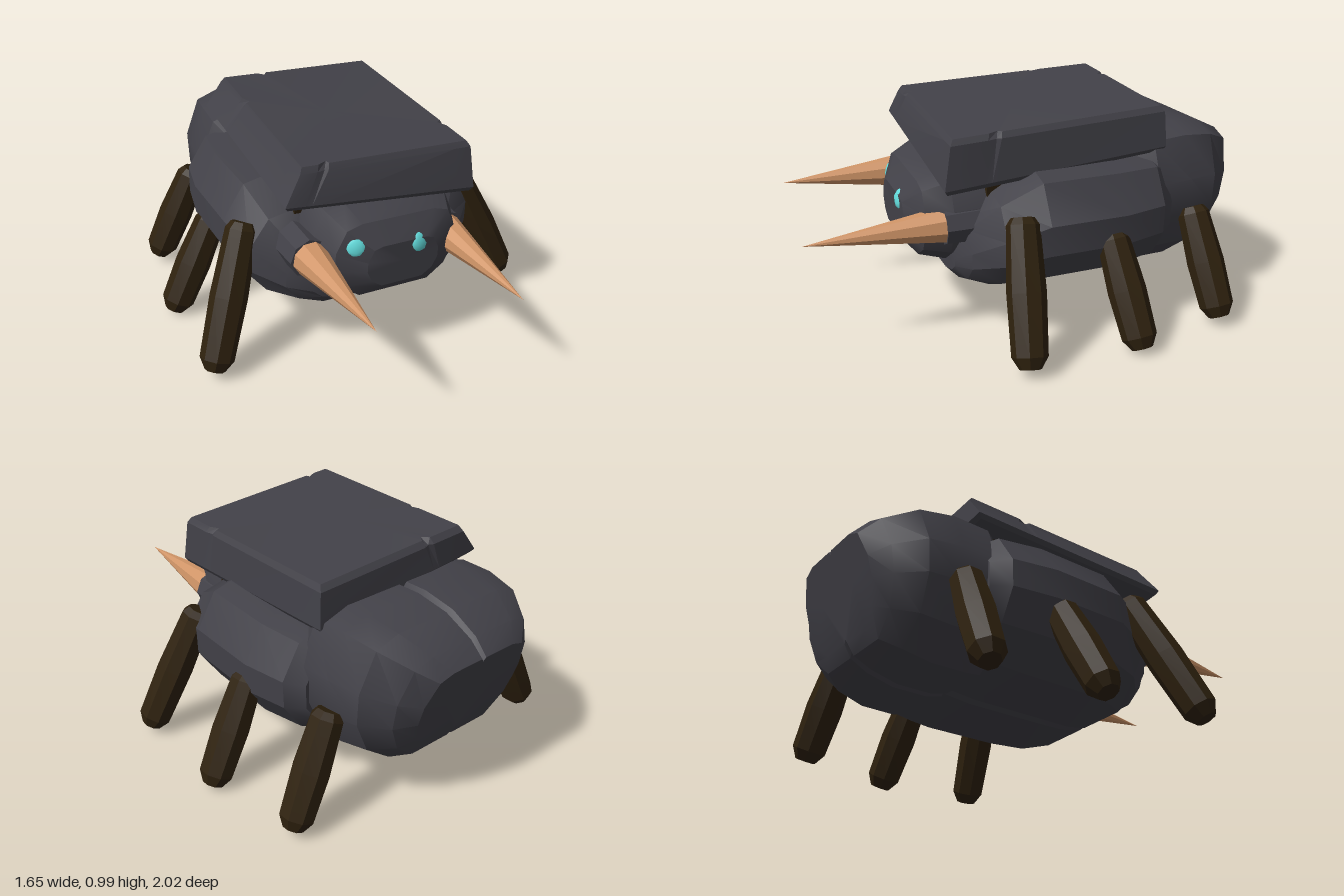
import * as THREE from 'three';
import { toCreasedNormals } from 'three/addons/utils/BufferGeometryUtils.js';

const V = (x, y, z) => new THREE.Vector3(x, y, z);
const material = (name, color) => {
  const m = new THREE.MeshStandardMaterial({ color });
  m.name = name;
  return m;
};

// Skin a list of closed rings and cap both ends
function loft(rings, crease = 0.45) {
  const pos = [];
  const tri = (...pts) => pts.forEach((p) => pos.push(p.x, p.y, p.z));
  const n = rings[0].length;
  const middle = (r) => r.reduce((s, p) => s.add(p), V(0, 0, 0)).divideScalar(n);
  const first = rings[0], last = rings[rings.length - 1];
  const c0 = middle(first), c1 = middle(last);
  for (let j = 0; j < n; j++) {
    const k = (j + 1) % n;
    for (let i = 0; i < rings.length - 1; i++) {
      const a = rings[i], b = rings[i + 1];
      tri(a[j], a[k], b[k]);
      tri(a[j], b[k], b[j]);
    }
    tri(c0, first[k], first[j]);
    tri(c1, last[j], last[k]);
  }
  const g = new THREE.BufferGeometry();
  g.setAttribute('position', new THREE.Float32BufferAttribute(pos, 3));
  return toCreasedNormals(g, crease);
}

// Half cross-section of a shell: u = outward, v = upward
const HALF = [[0, 0.04], [0.04, 0], [0.58, 0], [0.86, 0.17], [1, 0.42],
  [1, 0.66], [0.84, 0.94], [0.6, 1], [0.04, 1], [0, 0.96]];
const mirrored = (p) => p.map(([u, v]) => [-u, v]).reverse();

// Each section is [z, half width, bottom, top, backward lean]
const shell = (profile, sections) => loft(sections.map(([z, w, lo, hi, lean = 0]) =>
  profile.map(([u, v]) => V(u * w, lo + v * (hi - lo), z + lean * (0.6 - v)))));

export function createModel() {
  const model = new THREE.Group();
  const stone = material('dark stone', 0x424148);
  const wood = material('dark brown', 0x2e210e);
  const horn = material('tan horn', 0xcf9467);
  const glow = material('cyan eye', 0x62dcdc);
  const add = (name, geometry, mat, parent = model) => {
    const m = new THREE.Mesh(geometry, mat);
    m.name = name;
    parent.add(m);
    return m;
  };

  // Body shells, split down the middle by a seam
  const frontBody = new THREE.Group();
  frontBody.name = 'frontBody';
  frontBody.rotation.z = -0.04;
  frontBody.position.x = -0.02;
  model.add(frontBody);
  const frontSections = [[-0.57, 0.5, 0.28, 0.72], [-0.5, 0.56, 0.24, 0.76], [-0.3, 0.6, 0.22, 0.77],
    [0.05, 0.6, 0.22, 0.77], [0.22, 0.55, 0.22, 0.67], [0.33, 0.43, 0.24, 0.53], [0.37, 0.32, 0.27, 0.42]];
  const rearSections = [[-0.98, 0.27, 0.32, 0.71, 0.11], [-0.93, 0.36, 0.27, 0.77, 0.08],
    [-0.82, 0.45, 0.23, 0.83, 0.03], [-0.68, 0.48, 0.2, 0.85], [-0.52, 0.49, 0.2, 0.84], [-0.44, 0.45, 0.22, 0.79]];
  for (const [side, profile] of [['left', HALF], ['right', mirrored(HALF)]]) {
    add(side + 'FrontShell', shell(profile, frontSections), stone, frontBody);
    add(side + 'RearShell', shell(profile, rearSections), stone);
  }

  // Head
  const half = HALF.slice(2, 8);
  const head = add('head', shell([...half, ...mirrored(half)], [[0.1, 0.36, 0.33, 0.76], [0.38, 0.34, 0.32, 0.74],
    [0.49, 0.29, 0.345, 0.69], [0.55, 0.17, 0.41, 0.6]]), stone);
  head.rotation.z = -0.05;
  head.position.x = -0.02;

  // Roof slab: tilted, tapered block with chipped edges
  const low = [V(-0.47, 0.8, 0.43), V(0.42, 0.68, 0.44), V(0.43, 0.76, -0.57), V(-0.42, 0.85, -0.57)];
  const high = [V(-0.39, 0.96, 0.4), V(0.41, 0.91, 0.41), V(0.42, 0.96, -0.56), V(-0.34, 1.0, -0.57)];
  const chips = [0.13, 0.2, 0.75, 0.3];
  const layer = (corners, inset, drop, chip) => corners.flatMap((c, i) => {
    const next = corners[(i + 1) % 4];
    return [0, chips[i] - 0.035, chips[i], chips[i] + 0.025, 0.9].map((t, k) => {
      const p = c.clone().lerp(next, t);
      const s = inset - (k === 2 ? chip : 0);
      return V(p.x * s, p.y - drop, p.z * s);
    });
  });
  add('roofSlab', loft([layer(low, 0.97, 0, 0), layer(low, 1, -0.02, 0),
    layer(high, 1, 0.025, 0.02), layer(high, 0.965, 0, 0.05)], 0.3), stone);

  // Brown bed under the slab
  const bed = add('slabBed', new THREE.BoxGeometry(0.7, 0.15, 0.76), wood);
  bed.position.set(0.01, 0.725, -0.14);
  bed.rotation.set(0.05, 0, -0.1);

  // Eyes: thin faceted discs lying on the face
  for (const [x, y, z, yaw] of [[-0.2, 0.61, 0.505, -0.4], [0.09, 0.575, 0.535, 0.25]]) {
    const eye = add('eye', new THREE.IcosahedronGeometry(0.048, 1), glow);
    eye.scale.z = 0.45;
    eye.position.set(x, y, z);
    eye.rotation.set(-0.25, yaw, 0);
  }

  // Horns with dark sockets
  for (const [base, tip] of [[V(-0.36, 0.55, 0.4), V(-0.365, 0.555, 0.97)], [V(0.295, 0.51, 0.4), V(0.28, 0.5, 1)]]) {
    const length = base.distanceTo(tip);
    const group = new THREE.Group();
    group.name = 'hornAssembly';
    group.position.copy(base);
    group.quaternion.setFromUnitVectors(V(0, 1, 0), tip.clone().sub(base).normalize());
    model.add(group);
    add('horn', toCreasedNormals(new THREE.ConeGeometry(0.08, length, 9), 0.3), horn, group).position.y = length / 2;
    add('hornSocket', toCreasedNormals(new THREE.CylinderGeometry(0.088, 0.095, 0.2, 8), 0.3), stone, group)
      .position.y = -0.085;
  }

  // Legs: hip point to foot point, with chamfered ends
  const legs = {
    leftFront: [V(0.53, 0.59, 0.15), V(0.785, 0.045, 0.22)],
    leftMiddle: [V(0.55, 0.47, -0.25), V(0.785, 0.03, -0.29)],
    leftRear: [V(0.48, 0.5, -0.69), V(0.695, 0.05, -0.73)],
    rightFront: [V(-0.54, 0.63, 0.14), V(-0.775, 0.055, 0.32)],
    rightMiddle: [V(-0.54, 0.47, -0.25), V(-0.775, 0.03, -0.22)],
    rightRear: [V(-0.48, 0.5, -0.67), V(-0.695, 0.05, -0.7)],
  };
  for (const [name, [hip, foot]] of Object.entries(legs)) {
    const length = hip.distanceTo(foot);
    const outline = [[0, 0], [0.045, 0], [0.075, 0.05], [0.082, length * 0.5], [0.07, length - 0.03],
      [0.05, length], [0, length]].map(([r, y]) => new THREE.Vector2(r, y));
    const g = new THREE.LatheGeometry(outline, 8).rotateY(Math.PI / 8);
    const leg = add(name + 'Leg', toCreasedNormals(g, 0.3), wood);
    leg.position.copy(foot);
    leg.quaternion.setFromUnitVectors(V(0, 1, 0), hip.clone().sub(foot).normalize());
  }
  return model;
}
